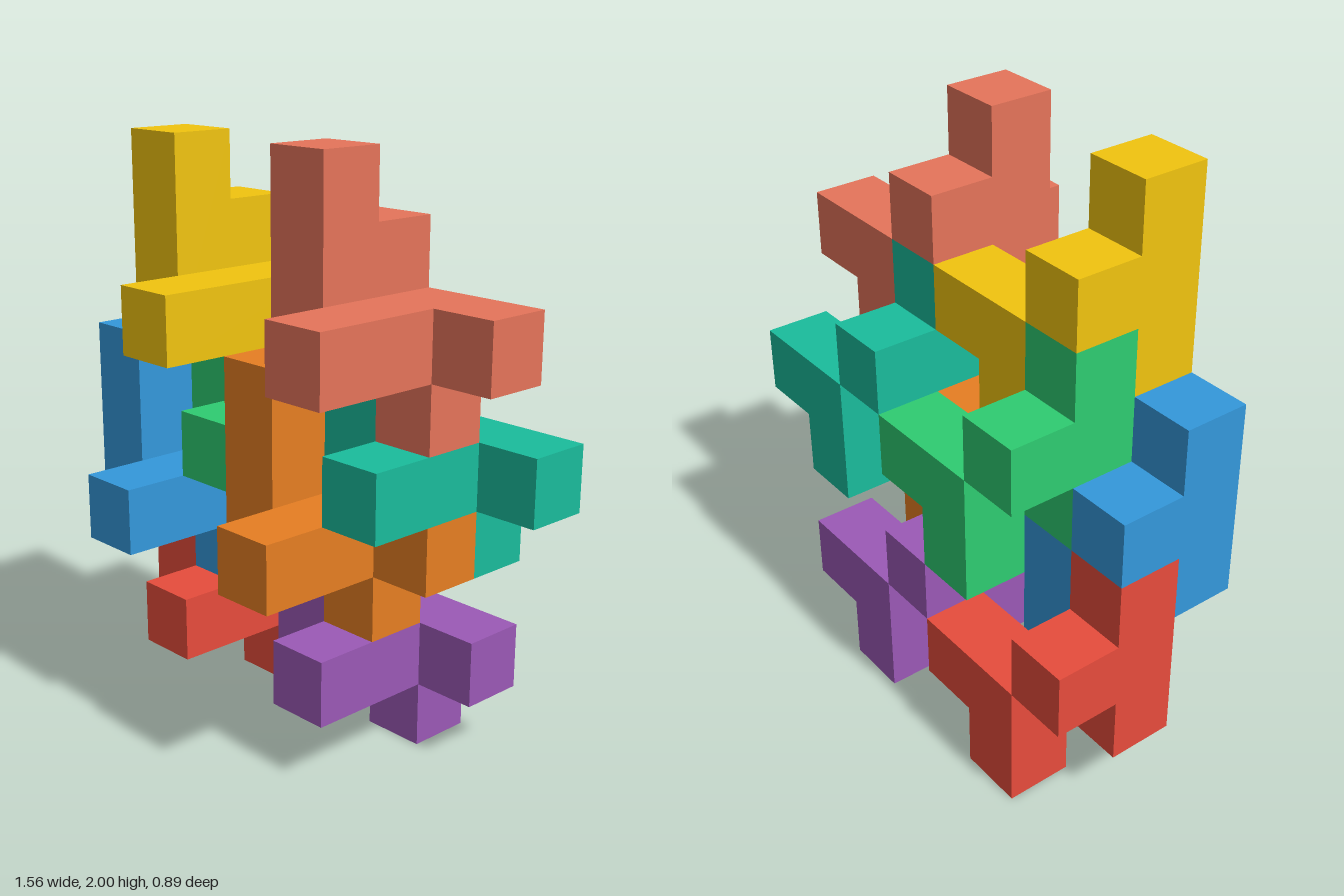
import * as THREE from 'three';
import { mergeGeometries } from 'three/addons/utils/BufferGeometryUtils.js';

const CELL = 2 / 9; // edge of one cube

// A box given in cube units: centre and size
function block([x, y, z], [w, h, d]) {
  return new THREE.BoxGeometry(w * CELL, h * CELL, d * CELL)
    .translate(x * CELL, y * CELL, z * CELL);
}

// One puzzle piece of nine cubes, around its three-way corner cube
function pieceGeometry() {
  return mergeGeometries([
    block([0, 0, 1], [1, 1, 3]),   // arm reaching forward
    block([1, 0, 0], [1, 1, 1]),   // side stub
    block([0, -1, 0], [1, 1, 1]),  // foot
    block([-1, 1, 1], [1, 3, 1]),  // upright column
    block([-1, 1, 0], [1, 1, 1]),  // hook behind the column
  ]);
}

// Colour and corner cube (column, layer, row from the back) of each piece
const PIECES = [
  ['redPiece', 0xe74c3c, [1, 1, 0]],
  ['purplePiece', 0x9b59b6, [4, 1, 0]],
  ['bluePiece', 0x3498db, [1, 3, 1]],
  ['orangePiece', 0xe67e22, [4, 3, 1]],
  ['greenPiece', 0x2ecc71, [2, 4, 0]],
  ['tealPiece', 0x1abc9c, [5, 4, 0]],
  ['yellowPiece', 0xf1c40f, [2, 6, 1]],
  ['salmonPiece', 0xe5745a, [5, 6, 1]],
];

export function createModel() {
  const model = new THREE.Group();
  model.name = 'interlockingCubePieces';
  const geometry = pieceGeometry();
  for (const [name, color, [i, j, k]] of PIECES) {
    const piece = new THREE.Mesh(geometry, new THREE.MeshStandardMaterial({ color }));
    piece.name = name;
    // The stack is 7 x 9 x 4 cubes
    piece.position.set((i - 3) * CELL, (j + 0.5) * CELL, (k - 1.5) * CELL);
    model.add(piece);
  }
  return model;
}
